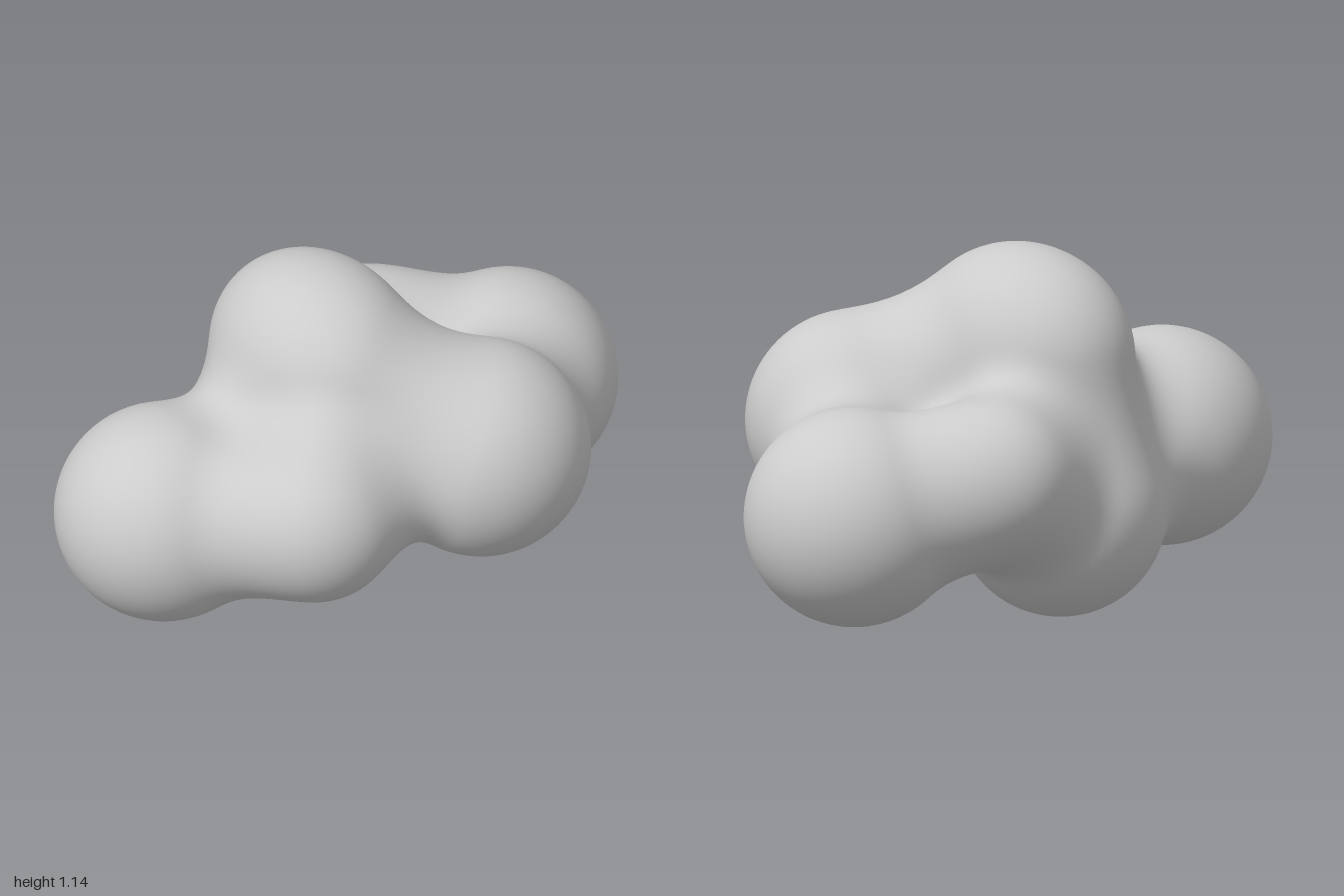
import * as THREE from 'three';

// Lobes of the blob: centre, then radii (one number for a round lobe)
const lobes = [
  { c: [-0.66, 0.45, -0.13], r: [0.34, 0.34, 0.34] }, // right side
  { c: [0.66, 0.40, -0.13], r: [0.34, 0.34, 0.34] },  // left side
  { c: [-0.09, 0.80, -0.10], r: [0.305, 0.34, 0.39] }, // top
  { c: [0.23, 0.57, 0.31], r: [0.34, 0.34, 0.34] },   // front left
  { c: [-0.37, 0.53, 0.26], r: [0.265, 0.265, 0.265] }, // front right
  { c: [-0.08, 0.33, -0.28], r: [0.33, 0.33, 0.33] }, // bottom
  { c: [0.32, 0.51, -0.40], r: [0.25, 0.25, 0.25] },  // back left
];

const LEVEL = 0.3;
const FALLOFF = 1 - Math.cbrt(LEVEL); // a lone lobe ends exactly at its radii

// Sum of soft lobes; positive inside. Writes the gradient when asked.
function field(x, y, z, grad) {
  let sum = -LEVEL;
  if (grad) grad.set(0, 0, 0);
  for (const { c, r } of lobes) {
    const dx = (x - c[0]) / r[0], dy = (y - c[1]) / r[1], dz = (z - c[2]) / r[2];
    const t = 1 - FALLOFF * (dx * dx + dy * dy + dz * dz);
    if (t <= 0) continue;
    sum += t * t * t;
    if (grad) {
      const k = -6 * FALLOFF * t * t;
      grad.x += k * dx / r[0];
      grad.y += k * dy / r[1];
      grad.z += k * dz / r[2];
    }
  }
  return sum;
}

// Skin the field: one vertex per crossed grid cell, one quad per crossed edge
function skinGeometry(min, max, step) {
  const n = min.map((v, i) => Math.ceil((max[i] - v) / step) + 1);
  const stride = [1, n[0], n[0] * n[1]];
  const at = (i, axis) => min[axis] + i * step;
  const values = new Float32Array(n[0] * n[1] * n[2]);
  const each = (from, cut, visit) => {
    for (let k = from; k < n[2] - cut; k++)
      for (let j = from; j < n[1] - cut; j++)
        for (let i = from; i < n[0] - cut; i++)
          visit(i, j, k, i + j * stride[1] + k * stride[2]);
  };
  each(0, 0, (i, j, k, id) => { values[id] = field(at(i, 0), at(j, 1), at(k, 2)); });

  const positions = [], normals = [], indices = [];
  const cellVertex = new Int32Array(values.length).fill(-1);
  const p = new THREE.Vector3(), g = new THREE.Vector3();

  // Vertices: average of the edge crossings, then pulled onto the surface
  each(0, 1, (i, j, k, id) => {
    const base = [i, j, k];
    let count = 0;
    p.set(0, 0, 0);
    for (let corner = 0; corner < 8; corner++) {
      const bits = [corner & 1, (corner >> 1) & 1, corner >> 2];
      const a = id + bits[0] + bits[1] * stride[1] + bits[2] * stride[2];
      for (let axis = 0; axis < 3; axis++) {
        if (bits[axis]) continue;
        const va = values[a], vb = values[a + stride[axis]];
        if ((va > 0) === (vb > 0)) continue;
        const q = bits.map((b, m) => at(base[m] + b, m));
        q[axis] += step * va / (va - vb);
        p.x += q[0]; p.y += q[1]; p.z += q[2];
        count++;
      }
    }
    if (!count) return;
    p.divideScalar(count);
    for (let pass = 0; pass < 3; pass++) {
      const f = field(p.x, p.y, p.z, g);
      const move = THREE.MathUtils.clamp(-f / Math.max(g.length(), 0.05), -step / 3, step / 3);
      p.addScaledVector(g.normalize(), move);
    }
    field(p.x, p.y, p.z, g);
    g.normalize().negate();
    cellVertex[id] = positions.length / 3;
    positions.push(p.x, p.y, p.z);
    normals.push(g.x, g.y, g.z);
  });

  // Quads around every crossed edge, wound to face outwards
  each(1, 1, (i, j, k, id) => {
    for (let axis = 0; axis < 3; axis++) {
      const inside = values[id] > 0;
      if (inside === (values[id + stride[axis]] > 0)) continue;
      const u = stride[(axis + 1) % 3], v = stride[(axis + 2) % 3];
      const [a, b, c, d] = [id - u - v, id - v, id, id - u].map((cell) => cellVertex[cell]);
      if (inside) indices.push(a, b, c, a, c, d);
      else indices.push(a, c, b, a, d, c);
    }
  });

  const geometry = new THREE.BufferGeometry();
  geometry.setAttribute('position', new THREE.Float32BufferAttribute(positions, 3));
  geometry.setAttribute('normal', new THREE.Float32BufferAttribute(normals, 3));
  geometry.setIndex(indices);
  return geometry;
}

export function createModel() {
  const group = new THREE.Group();
  group.name = 'lobedBlob';
  const body = new THREE.Mesh(
    skinGeometry([-1.08, -0.08, -0.75], [1.08, 1.22, 0.75], 0.025),
    new THREE.MeshStandardMaterial({ color: 0xcccccc })
  );
  body.name = 'blobBody';
  group.add(body);
  return group;
}
